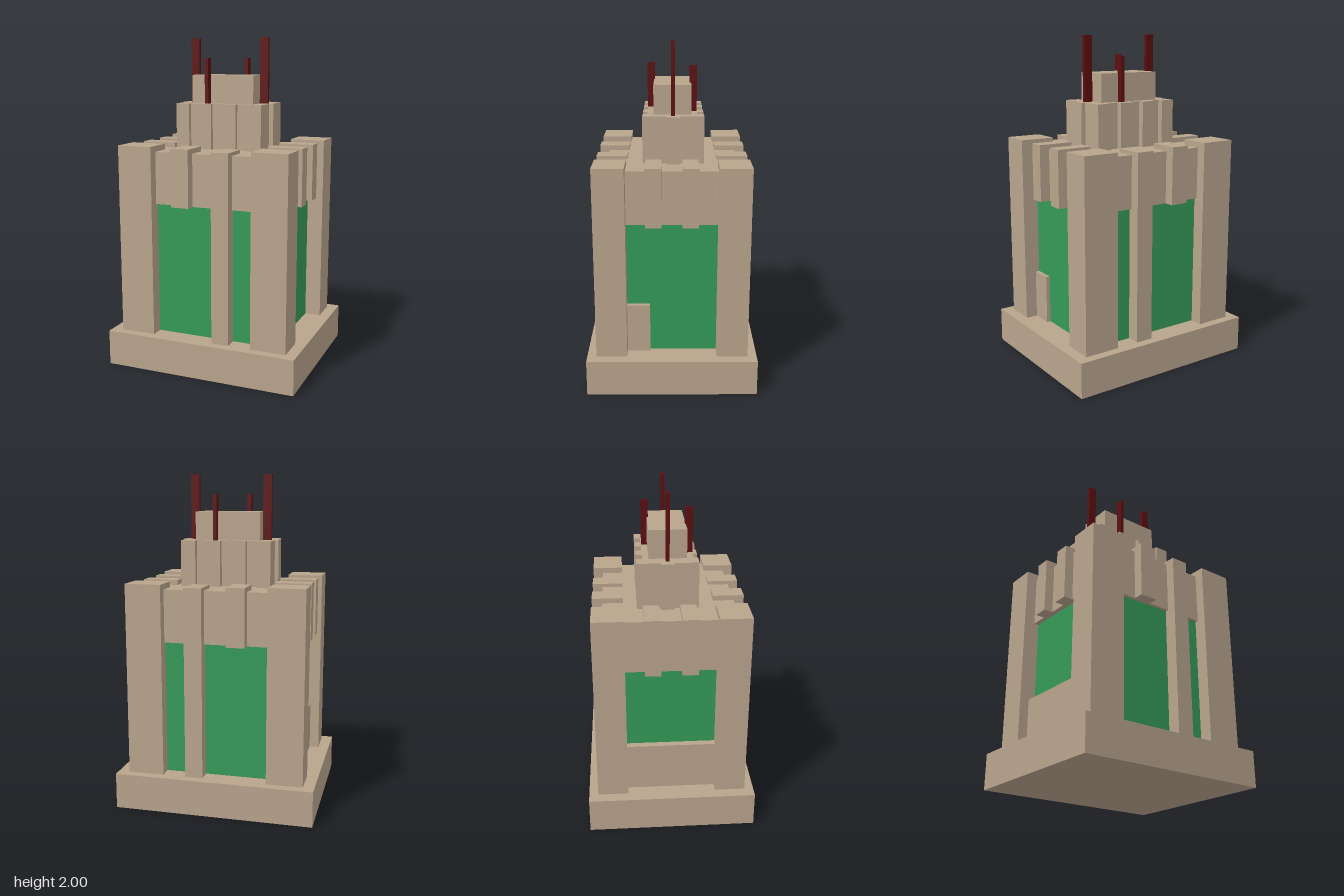
import * as THREE from 'three';

const stone = new THREE.MeshStandardMaterial({ color: 0xb8a48c });
stone.name = 'sandstone';
const glass = new THREE.MeshStandardMaterial({ color: 0x359a57 });
glass.name = 'green glass';
const maroon = new THREE.MeshStandardMaterial({ color: 0x5c0e10 });
maroon.name = 'maroon';

export function createModel() {
  const model = new THREE.Group();
  model.name = 'tower';

  // Box given by its extents along each axis
  const box = (name, material, [x0, x1], [y0, y1], [z0, z1]) => {
    const mesh = new THREE.Mesh(new THREE.BoxGeometry(x1 - x0, y1 - y0, z1 - z0), material);
    mesh.position.set((x0 + x1) / 2, (y0 + y1) / 2, (z0 + z1) / 2);
    mesh.name = name;
    model.add(mesh);
  };
  // Extent mirrored to the chosen side of an axis
  const side = (s, a, b) => (s > 0 ? [a, b] : [-b, -a]);

  const ground = 0.215, eaves = 1.02, roof = 1.335, terrace = 1.61;

  // Plinth, glazed core and the stone storey above it
  box('plinth', stone, [-0.6, 0.6], [0, ground], [-0.505, 0.505]);
  box('glassCore', glass, [-0.435, 0.435], [ground, eaves], [-0.37, 0.37]);
  box('upperStorey', stone, [-0.465, 0.46], [eaves, roof], [-0.39, 0.39]);

  for (const s of [-1, 1]) {
    // Corner towers
    for (const t of [-1, 1]) {
      box('cornerTower', stone, side(s, 0.315, 0.533), [ground, 1.37], side(t, 0.266, 0.45));
    }
    // Front and back: one short pier, one reaching the plinth
    box('shortPier', stone, [-0.185, -0.073], [eaves, 1.365], side(s, 0.266, 0.45));
    box('fullPier', stone, [0.07, 0.177], [ground, 1.357], side(s, 0.266, 0.45));
    // Side piers
    for (const t of [-1, 1]) {
      box('sidePier', stone, side(s, 0.305, 0.522), [eaves, 1.365], side(t, 0.06, 0.153));
    }
  }

  // Low walls against the side glazing
  box('leftLowWall', stone, [0.4, 0.46], [ground, 0.515], [0.13, 0.28]);
  box('rightLowWall', stone, [-0.475, -0.4], [ground, 0.515], [-0.28, 0.28]);

  // Notched upper tier, extruded from its plan (shape y = -z)
  const front = [[-0.28, -0.195], [-0.13, -0.05], [0.025, 0.11], [0.18, 0.27]];
  const plan = [];
  front.forEach(([a, b], i) => {
    if (i) plan.push([a, -0.145]);
    plan.push([a, -0.172], [b, -0.172]);
    if (i < 3) plan.push([b, -0.145]);
  });
  plan.push([0.27, -0.03], [0.297, -0.03], [0.297, 0.047], [0.27, 0.047]);
  [...front].reverse().forEach(([a, b], i) => {
    if (i) plan.push([b, 0.15]);
    plan.push([b, 0.187], [a, 0.187]);
    if (i < 3) plan.push([a, 0.15]);
  });
  plan.push([-0.28, 0.047], [-0.303, 0.047], [-0.303, -0.03], [-0.28, -0.03]);
  const shape = new THREE.Shape(plan.map(([x, y]) => new THREE.Vector2(x, y)));
  const tier = new THREE.Mesh(
    new THREE.ExtrudeGeometry(shape, { depth: terrace - roof, bevelEnabled: false }), stone);
  tier.rotation.x = -Math.PI / 2;
  tier.position.y = roof;
  tier.name = 'notchedTier';
  model.add(tier);

  // Crown block
  box('crown', stone, [-0.2, 0.197], [terrace, 1.78], [-0.113, 0.108]);

  // Masts
  for (const s of [-1, 1]) box('tallMast', maroon, side(s, 0.2, 0.253), [terrace, 2], [-0.017, 0.004]);
  box('frontMast', maroon, [-0.1, -0.077], [terrace, 1.88], [0.103, 0.148]);
  box('backMast', maroon, [0.057, 0.08], [terrace, 1.88], [-0.148, -0.105]);

  return model;
}
